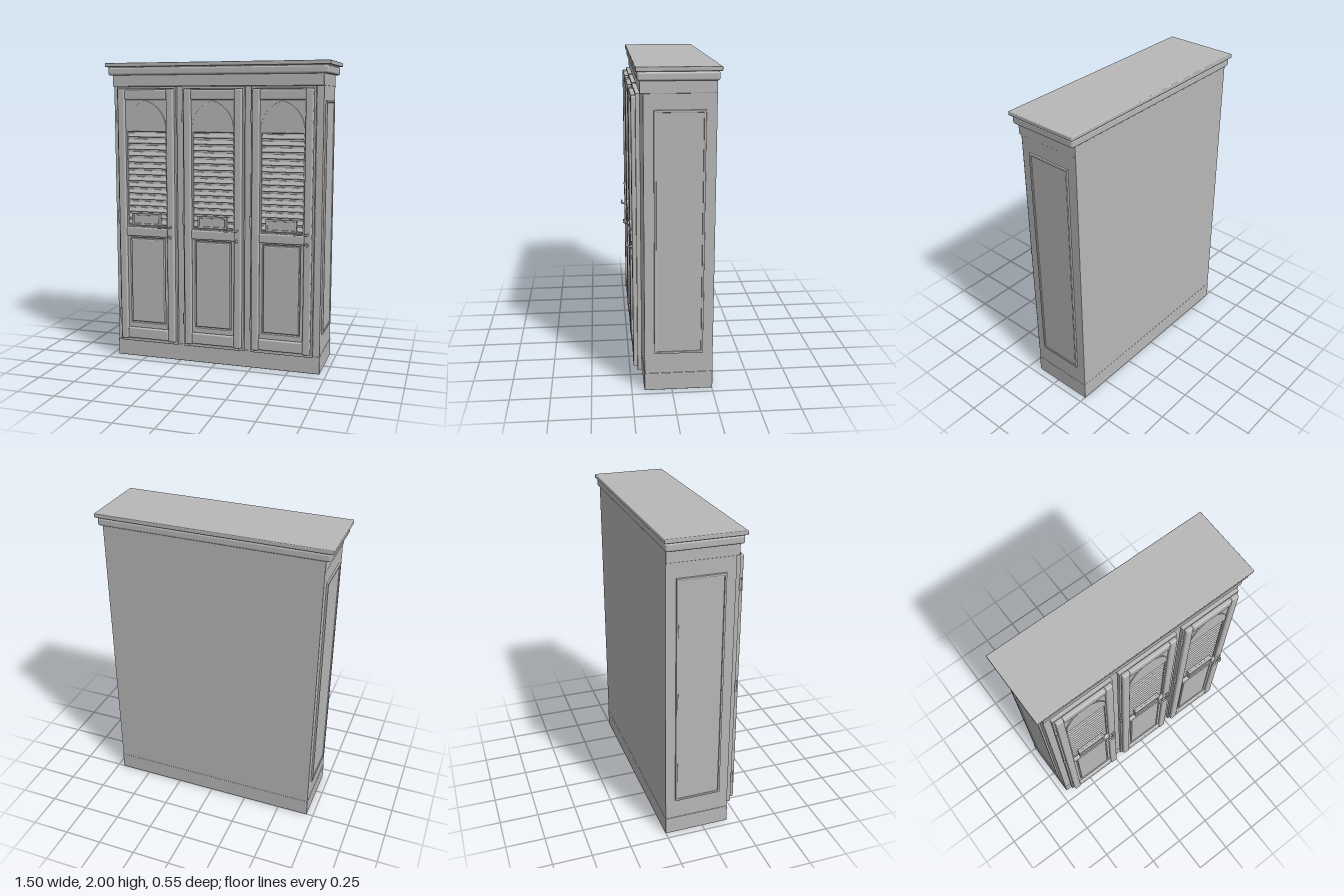
import * as THREE from 'three';
import { RoundedBoxGeometry } from 'three/addons/geometries/RoundedBoxGeometry.js';

const paint = new THREE.MeshStandardMaterial({ color: 0xb8b8b8 });
paint.name = 'grey paint';

function add(parent, name, geometry) {
  const mesh = new THREE.Mesh(geometry, paint);
  mesh.name = name;
  parent.add(mesh);
  return mesh;
}

// Box given by its limits, optionally with rounded edges
function box(parent, name, x0, x1, y0, y1, z0, z1, r = 0) {
  const s = [x1 - x0, y1 - y0, z1 - z0];
  const geo = r ? new RoundedBoxGeometry(...s, 3, r) : new THREE.BoxGeometry(...s);
  const mesh = add(parent, name, geo);
  mesh.position.set((x0 + x1) / 2, (y0 + y1) / 2, (z0 + z1) / 2);
  return mesh;
}

function rect(path, x, y0, y1) {
  path.moveTo(-x, y0);
  path.lineTo(x, y0);
  path.lineTo(x, y1);
  path.lineTo(-x, y1);
  path.closePath();
  return path;
}

// Pointed arch opening: straight sides, two arcs meeting at the apex
function arch(path, w, base, spring, h) {
  const r = (w * w + h * h) / (2 * w);
  const a = Math.atan2(h, r - w);
  path.moveTo(-w, base);
  path.lineTo(w, base);
  path.lineTo(w, spring);
  path.absarc(w - r, spring, r, 0, a, false);
  path.absarc(r - w, spring, r, Math.PI - a, Math.PI, false);
  path.closePath();
  return path;
}

function plate(parent, name, shape, hole, z0, z1, bevel = 0) {
  if (hole) shape.holes.push(hole);
  const geo = new THREE.ExtrudeGeometry(shape, {
    depth: z1 - z0 - bevel, curveSegments: 16, bevelEnabled: bevel > 0,
    bevelSize: bevel, bevelThickness: bevel, bevelOffset: -bevel, bevelSegments: 2,
  });
  const mesh = add(parent, name, geo);
  mesh.position.z = z0;
  return mesh;
}

const S = () => new THREE.Shape();
const P = () => new THREE.Path();

function makeDoor() {
  const door = new THREE.Group();
  door.name = 'door';

  // Outer frame and backing
  plate(door, 'doorFrame', rect(S(), 0.207, 0.12, 1.845), rect(P(), 0.192, 0.14, 1.83), 0.187, 0.21, 0.004);
  box(door, 'doorBacking', -0.194, 0.194, 0.14, 1.83, 0.188, 0.196);

  // Stiles and rails
  box(door, 'leftStile', -0.195, -0.145, 0.14, 1.83, 0.192, 0.235, 0.01);
  box(door, 'rightStile', 0.145, 0.195, 0.14, 1.83, 0.192, 0.235, 0.01);
  for (const [y0, y1] of [[0.145, 0.22], [0.855, 0.917], [1.76, 1.825]]) {
    box(door, 'rail', -0.147, 0.147, y0, y1, 0.192, 0.232, 0.01);
  }

  // Lower raised panel
  plate(door, 'panelSurround', rect(S(), 0.145, 0.22, 0.855), rect(P(), 0.124, 0.255, 0.845), 0.194, 0.218, 0.004);
  plate(door, 'lowerPanel', rect(S(), 0.117, 0.263, 0.838), null, 0.194, 0.222, 0.008);

  // Arched upper panel with moulding
  plate(door, 'archPanel', rect(S(), 0.146, 0.915, 1.765), arch(P(), 0.135, 0.925, 1.57, 0.178), 0.194, 0.216);
  plate(door, 'archMoulding', arch(S(), 0.141, 1.555, 1.57, 0.185), arch(P(), 0.127, 1.556, 1.57, 0.166), 0.2, 0.223, 0.003);

  // Pointed board above the slats
  const board = S();
  board.moveTo(-0.135, 1.55);
  board.lineTo(0.135, 1.55);
  board.lineTo(0.125, 1.595);
  board.lineTo(0, 1.732);
  board.lineTo(-0.125, 1.595);
  board.closePath();
  plate(door, 'pointedBoard', board, null, 0.195, 0.207);

  // Louvre slats
  for (let i = 0; i < 15; i++) {
    const y = 1.53 - i * 0.0415;
    const slat = box(door, 'slat', -0.135, 0.135, y - 0.015, y + 0.015, 0.199, 0.208, 0.003);
    slat.rotation.x = -0.45;
  }

  // Label holder
  box(door, 'labelPlate', -0.098, 0.098, 0.935, 1.008, 0.205, 0.232);
  plate(door, 'labelFrame', rect(S(), 0.1, 0.932, 1.012), rect(P(), 0.087, 0.945, 0.999), 0.226, 0.241, 0.003);

  // Lever handle
  const rose = add(door, 'handleRose', new THREE.CylinderGeometry(0.013, 0.013, 0.008, 20));
  rose.rotation.x = Math.PI / 2;
  rose.position.set(0.167, 0.925, 0.238);
  const lever = new THREE.CatmullRomCurve3([
    [0.167, 0.925, 0.23], [0.168, 0.925, 0.252], [0.157, 0.926, 0.266],
    [0.13, 0.928, 0.264], [0.092, 0.923, 0.264],
  ].map((p) => new THREE.Vector3(...p)));
  add(door, 'handleLever', new THREE.TubeGeometry(lever, 24, 0.006, 10));
  const tip = add(door, 'handleTip', new THREE.SphereGeometry(0.0065, 12, 8));
  tip.position.set(0.092, 0.923, 0.264);

  // Keyhole
  const ring = add(door, 'keyholeRing', new THREE.TorusGeometry(0.009, 0.003, 8, 20));
  ring.position.set(0.165, 0.858, 0.235);
  box(door, 'keyholeSkirt', 0.161, 0.169, 0.838, 0.851, 0.23, 0.237);

  // Hinges
  for (const y of [0.31, 0.985, 1.655]) {
    const hinge = add(door, 'hinge', new THREE.CylinderGeometry(0.008, 0.008, 0.075, 12));
    hinge.position.set(-0.204, y, 0.212);
  }
  return door;
}

export function createModel() {
  const model = new THREE.Group();
  model.name = 'wardrobe';

  // Carcass, plinth and cornice
  box(model, 'carcass', -0.704, 0.704, 0.11, 1.93, -0.253, 0.168);
  box(model, 'plinth', -0.707, 0.707, 0, 0.117, -0.255, 0.171, 0.005);
  box(model, 'frieze', -0.706, 0.706, 1.847, 1.925, -0.253, 0.187, 0.004);
  box(model, 'lowerCornice', -0.735, 0.735, 1.92, 1.972, -0.263, 0.202, 0.014);
  box(model, 'corniceNeck', -0.725, 0.725, 1.965, 1.98, -0.258, 0.195);
  box(model, 'topCornice', -0.75, 0.75, 1.974, 2, -0.273, 0.212, 0.005);

  // Side panels with a thin raised border
  for (const side of [-1, 1]) {
    const panel = new THREE.Group();
    panel.name = side > 0 ? 'leftSidePanel' : 'rightSidePanel';
    plate(panel, 'panelBorder', rect(S(), 0.15, 0.25, 1.755), rect(P(), 0.136, 0.264, 1.741), 0, 0.013, 0.004);
    plate(panel, 'panelField', rect(S(), 0.137, 0.263, 1.742), null, 0, 0.006);
    panel.rotation.y = side * Math.PI / 2;
    panel.position.set(side * 0.703, 0, -0.041);
    model.add(panel);
  }

  // Three matching doors
  for (const x of [-0.46, 0, 0.457]) {
    const door = makeDoor();
    door.position.x = x;
    model.add(door);
  }

  // Centre the depth
  model.children.forEach((part) => { part.position.z += 0.001; });
  return model;
}
